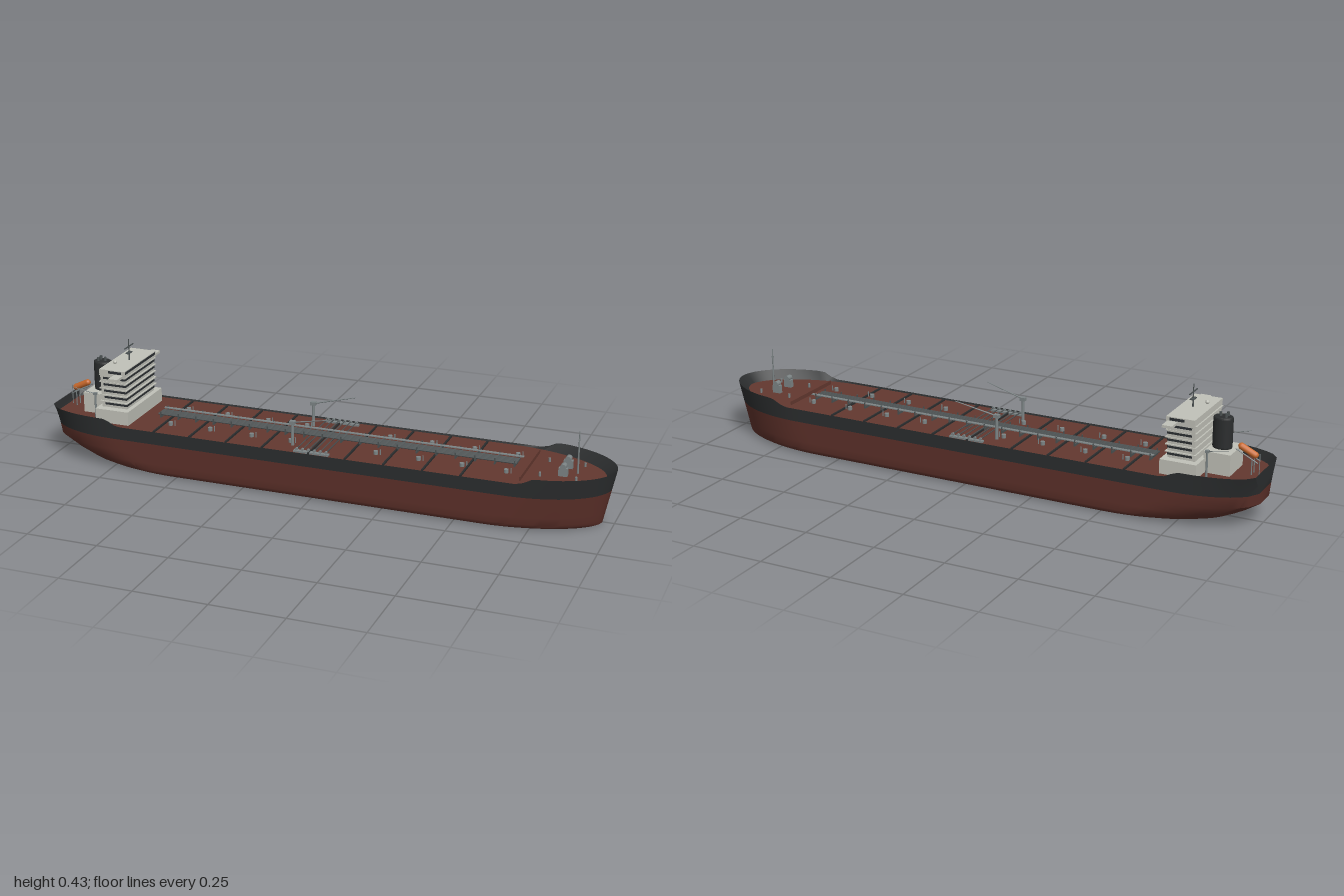
import * as THREE from 'three';
import { toCreasedNormals } from 'three/addons/utils/BufferGeometryUtils.js';

const mat = (name, color, side = THREE.FrontSide) => {
  const m = new THREE.MeshStandardMaterial({ color, side });
  m.name = name;
  return m;
};
const lerp = THREE.MathUtils.lerp;
const BEAM = 0.172, DECK = 0.158, SIDE = 26;

// Half-outline of the ship at one height, stern to bow, then mirrored into a closed ring
function ring(y, o) {
  const pts = [];
  for (let i = 0; i <= SIDE; i++) {
    const s = Math.sin((i / SIDE) * Math.PI / 2);
    const x = lerp(-0.4, o.stern, 1 - i / SIDE);
    const t = Math.max(0, 1 - (x - o.stern) / o.run);
    pts.push([x, o.transom + (o.half - o.transom) * Math.pow(1 - Math.pow(t, 2.1), 0.6)]);
  }
  for (let i = 0; i <= SIDE; i++) {
    const s = Math.sin((i / SIDE) * Math.PI / 2);
    const x = lerp(0.5, o.bow, s);
    const t = Math.max(0, 1 - (o.bow - x) / o.entry);
    pts.push([x, o.half * Math.pow(Math.max(0, 1 - Math.pow(t, o.full)), 0.55)]);
  }
  const height = x => (typeof y === 'function' ? y(x) : y);
  const port = pts.map(([x, w]) => [x, height(x), w]);
  const starboard = pts.map(([x, w]) => [x, height(x), -w]).reverse();
  return [...port, ...starboard];
}

// Skin between consecutive rings
function loft(rings) {
  const n = rings[0].length, index = [];
  for (let j = 0; j < rings.length - 1; j++)
    for (let i = 0; i < n; i++) {
      const a = j * n + i, b = j * n + (i + 1) % n;
      index.push(a, b, b + n, a, b + n, a + n);
    }
  return surface(rings.flat(), index);
}

// Flat strip from the port half of a ring to its starboard half
function cap(r, up) {
  const n = r.length, index = [];
  for (let i = 0; i < n / 2 - 1; i++) {
    const a = i, b = i + 1, c = n - 2 - i, d = n - 1 - i;
    index.push(...(up ? [a, b, c, a, c, d] : [a, c, b, a, d, c]));
  }
  return surface(r, index);
}

function surface(points, index) {
  const g = new THREE.BufferGeometry();
  g.setAttribute('position', new THREE.Float32BufferAttribute(points.flat(), 3));
  g.setIndex(index);
  return toCreasedNormals(g, 0.6);
}

export function createModel() {
  const ship = new THREE.Group();
  ship.name = 'tankerShip';
  const red = mat('hull red', 0x5c3029, THREE.DoubleSide);
  const black = mat('hull black', 0x2b2d2e, THREE.DoubleSide);
  const deckRed = mat('deck red', 0x63382f, THREE.DoubleSide);
  const white = mat('house white', 0xc0c1b8);
  const glass = mat('window dark', 0x2c3033);
  const grey = mat('fitting grey', 0x7c8485);
  const pipeGrey = mat('pipe grey', 0x4b5152);
  const orange = mat('lifeboat orange', 0xc9692c);

  const add = (name, geo, m, x = 0, y = 0, z = 0, parent = ship) => {
    const mesh = new THREE.Mesh(geo, m);
    mesh.name = name;
    mesh.position.set(x, y, z);
    parent.add(mesh);
    return mesh;
  };
  // Box given by its limits along x and y, its centre in z and its width
  const box = (name, m, x0, x1, y0, y1, width, z = 0) =>
    add(name, new THREE.BoxGeometry(x1 - x0, y1 - y0, width), m, (x0 + x1) / 2, (y0 + y1) / 2, z);
  // Round bar between two points
  const bar = (name, m, a, b, r0, r1 = r0, sides = 8) => {
    const p = new THREE.Vector3(...a), q = new THREE.Vector3(...b), d = q.clone().sub(p);
    const mesh = add(name, new THREE.CylinderGeometry(r1, r0, d.length(), sides), m);
    mesh.position.copy(p).add(q).multiplyScalar(0.5);
    mesh.quaternion.setFromUnitVectors(new THREE.Vector3(0, 1, 0), d.normalize());
    return mesh;
  };

  // Hull: rings from keel to rail
  const sheer = x => 0.164 + 0.023 * Math.max(
    THREE.MathUtils.smoothstep(x, 0.71, 0.77), THREE.MathUtils.smoothstep(-x, 0.71, 0.77));
  const hullRing = (y, half, stern, level = y) => {
    const k = level / 0.187;
    return ring(y, {
      half, stern, transom: lerp(0.03, 0.1, k * k), run: lerp(0.32, 0.24, k),
      bow: 0.96 + 0.04 * k, entry: lerp(0.36, 0.3, k), full: lerp(1.8, 2.2, k),
    });
  };
  const keel = hullRing(0, BEAM - 0.02, -0.78);
  const waterline = hullRing(0.118, BEAM, -1);
  const rail = hullRing(sheer, BEAM, -1, 0.187);
  const deckEdge = ring(DECK, {
    half: BEAM - 0.002, stern: -0.992, transom: 0.07, run: 0.25, bow: 0.965, entry: 0.34, full: 1.8,
  });
  add('lowerHull', loft([keel, hullRing(0.005, BEAM - 0.008, -0.825), hullRing(0.011, BEAM - 0.003, -0.86),
    hullRing(0.02, BEAM, -0.895), hullRing(0.045, BEAM, -0.95), hullRing(0.078, BEAM, -1), waterline]), red);
  add('hullBottom', cap(keel, false), red);
  add('upperHull', loft([waterline, hullRing(0.15, BEAM, -1), rail]), black);
  add('bulwarkInside', loft([rail, deckEdge]), black);
  add('mainDeck', cap(deckEdge, true), deckRed);

  // Deck beams and hatches
  for (const x of [-0.58, -0.445, -0.31, -0.177, -0.01, 0.12, 0.255, 0.39, 0.52])
    box('deckBeam', black, x - 0.003, x + 0.003, DECK, 0.164, 0.325);
  for (const x of [-0.555, -0.405, -0.25, -0.105, 0.2, 0.35, 0.5, 0.65])
    for (const z of [-0.075, 0.075]) {
      add('tankHatch', new THREE.CylinderGeometry(0.008, 0.008, 0.012, 12), grey, x, DECK + 0.006, z);
      bar('ventPost', grey, [x + 0.016, DECK, z], [x + 0.016, 0.176, z], 0.002);
    }

  // Centreline pipes, supports and catwalk
  for (let i = 0; i < 5; i++) {
    const z = -0.024 + i * 0.01;
    bar('cargoPipe', pipeGrey, [-0.63, 0.17, z], [0.67, 0.17, z], 0.0035);
  }
  box('catwalk', grey, -0.63, 0.68, 0.174, 0.177, 0.012, -0.036);
  for (let i = 0; i < 20; i++) {
    const x = -0.62 + i * 0.0675;
    box('pipeSupport', pipeGrey, x - 0.002, x + 0.002, DECK, 0.166, 0.064, -0.01);
    for (const z of [-0.041, 0.02]) box('supportPost', pipeGrey, x - 0.002, x + 0.002, DECK, 0.18, 0.003, z);
  }

  // Loading manifold on both sides
  for (const s of [-1, 1]) {
    for (let i = 0; i < 6; i++) {
      const x = -0.055 + i * 0.021;
      bar('manifoldPipe', pipeGrey, [x, 0.169, s * 0.02], [x, 0.169, s * 0.15], 0.002);
      bar('manifoldFlange', grey, [x, 0.169, s * 0.145], [x, 0.169, s * 0.152], 0.005);
    }
    box('dripTray', grey, -0.065, 0.06, DECK, 0.164, 0.016, s * 0.148);
  }

  // Hose cranes amidships and provision cranes aft
  const crane = (x, z, top, tip, r) => {
    bar('cranePost', grey, [x, DECK, z], [x, top, z], r, r * 0.8, 12);
    box('craneCab', grey, x - r * 1.6, x + r * 1.6, top - r, top + r, r * 2.6, z);
    bar('craneBoom', grey, [x, top, z], tip, r * 0.45, r * 0.25);
  };
  for (const s of [-1, 1]) {
    crane(-0.09, s * 0.098, 0.24, [0.058, 0.274, s * 0.115], 0.006);
    crane(-0.835, s * 0.095, 0.245, [-0.91, 0.262, s * 0.105], 0.004);
  }

  // Accommodation tiers with window bands
  box('houseBase', white, -0.815, -0.69, DECK, 0.207, 0.27);
  for (let i = 0; i < 5; i++) {
    const y = 0.207 + i * 0.0242;
    box('houseTier', white, -0.798, -0.706, y, y + 0.0242, 0.214 + i * 0.004);
    box('tierWindows', glass, -0.799, -0.705, y + 0.009, y + 0.0165, 0.216 + i * 0.004);
    box('windowPier', white, -0.8, -0.79, y, y + 0.0242, 0.218 + i * 0.004);
    box('tierDeck', white, -0.805, -0.7, y + 0.021, y + 0.0242, 0.234);
  }
  box('bridge', white, -0.8, -0.703, 0.328, 0.35, 0.246);
  box('bridgeWindows', glass, -0.775, -0.702, 0.338, 0.347, 0.234);
  box('bridgeSideWindows', glass, -0.765, -0.715, 0.338, 0.347, 0.248);
  box('bridgeWings', white, -0.742, -0.708, 0.327, 0.336, 0.338);

  // Radar mast
  bar('mast', pipeGrey, [-0.745, 0.35, 0], [-0.745, 0.427, 0], 0.003, 0.0015);
  box('mastYard', pipeGrey, -0.747, -0.743, 0.399, 0.402, 0.068);
  box('radarScanner', pipeGrey, -0.752, -0.738, 0.376, 0.379, 0.03);
  add('radarDome', new THREE.SphereGeometry(0.007, 12, 8), white, -0.775, 0.355, 0.05);

  // Engine casing and funnel
  box('engineCasing', white, -0.9, -0.81, DECK, 0.23, 0.12);
  const outline = new THREE.Shape();
  outline.absellipse(0, 0, 0.033, 0.027, 0, Math.PI * 2);
  const funnelGeo = new THREE.ExtrudeGeometry(outline, { depth: 0.095, bevelEnabled: true, bevelSize: 0.004,
    bevelThickness: 0.006, bevelSegments: 2, bevelOffset: -0.004, curveSegments: 20 });
  funnelGeo.rotateX(-Math.PI / 2);
  add('funnel', funnelGeo, black, -0.85, 0.235, 0);
  for (const [x, z] of [[-0.862, -0.01], [-0.862, 0.01], [-0.84, 0]])
    bar('exhaustPipe', pipeGrey, [x, 0.33, z], [x, 0.349, z], 0.005);

  // Free-fall lifeboat on its ramp
  const boat = add('lifeboat', new THREE.CapsuleGeometry(0.011, 0.052, 6, 12), orange, -0.938, 0.234, 0);
  boat.rotation.z = Math.PI / 2 + 0.45;
  for (const z of [-0.012, 0.012]) {
    bar('lifeboatRamp', grey, [-0.975, 0.2, z], [-0.9, 0.238, z], 0.002);
    bar('rampLeg', grey, [-0.955, DECK, z], [-0.955, 0.21, z], 0.002);
  }
  bar('sternStaff', grey, [-0.977, DECK, 0], [-0.977, 0.228, 0], 0.0015);

  // Foredeck: breakwater, windlasses and foremast
  box('breakwater', deckRed, 0.708, 0.711, DECK, 0.172, 0.26);
  for (const s of [-1, 1]) {
    box('windlassBed', grey, 0.815, 0.845, DECK, 0.186, 0.016, s * 0.036);
    bar('windlassDrum', grey, [0.83, 0.191, s * 0.025], [0.83, 0.191, s * 0.047], 0.01, 0.01, 14);
    for (const x of [0.76, 0.88])
      bar('bollard', grey, [x, DECK, s * 0.065], [x, 0.172, s * 0.065], 0.004);
  }
  bar('foremast', grey, [0.87, DECK, 0], [0.87, 0.305, 0], 0.0035, 0.002);
  box('foremastYard', grey, 0.868, 0.872, 0.275, 0.278, 0.012);

  return ship;
}
